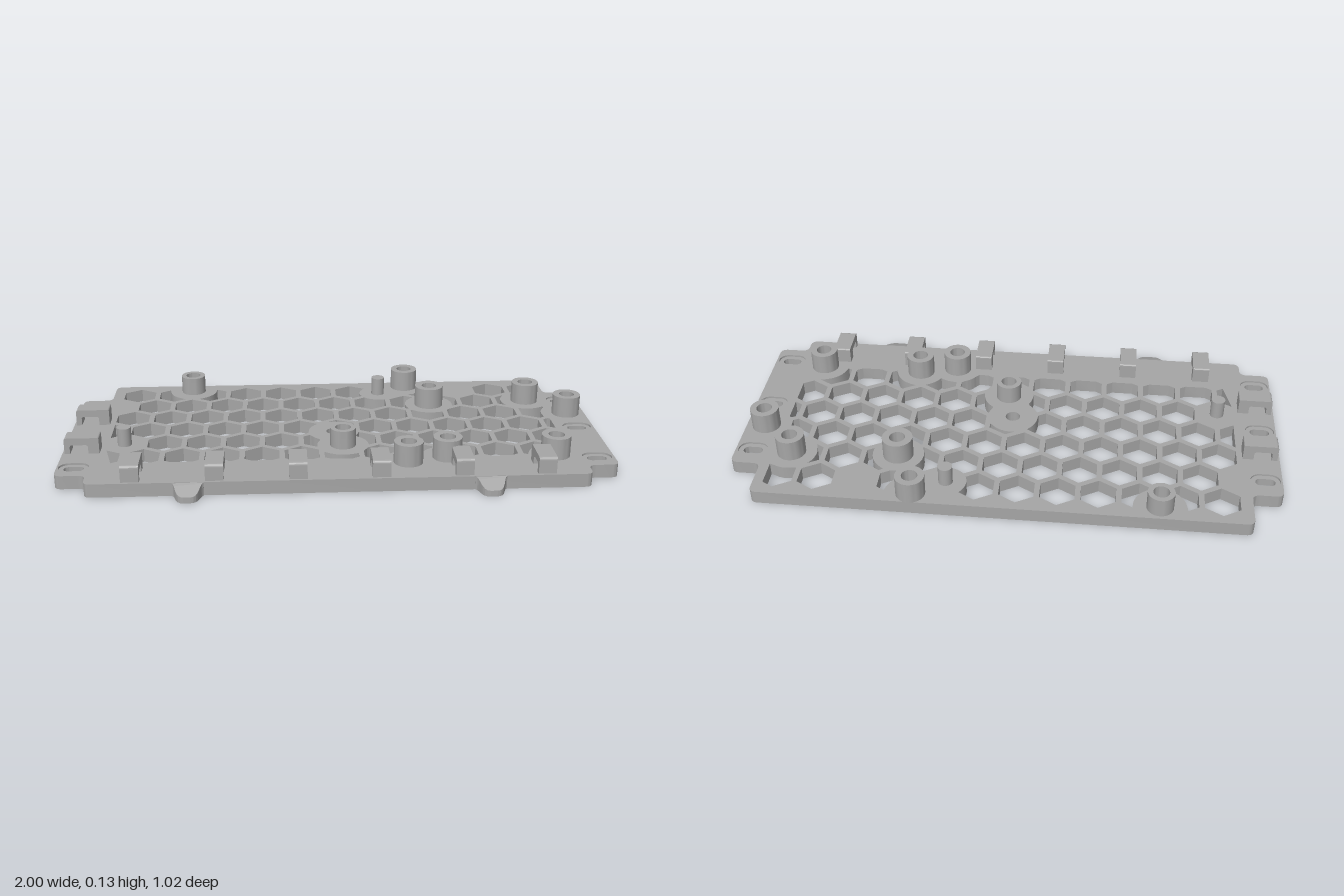
import * as THREE from 'three';
import { toCreasedNormals } from 'three/addons/utils/BufferGeometryUtils.js';

const T = 0.05; // plate thickness
const grey = new THREE.MeshStandardMaterial({ color: 0xa6a6a6 });
grey.name = 'grey plastic';

// x, z, height of top, outer radius
const bosses = [
  [0.25, 0.31, 0.13, 0.053], [0.395, 0.275, 0.13, 0.053], [0.79, 0.275, 0.13, 0.053],
  [0.925, -0.13, 0.13, 0.053], [0.395, -0.255, 0.13, 0.056], [0.79, -0.278, 0.13, 0.053],
  [0.315, -0.463, 0.13, 0.053], [0.025, 0.143, 0.12, 0.048], [-0.563, -0.453, 0.12, 0.048],
];
const posts = [[0.2, -0.39], [-0.783, 0.102]];
const slots = [-0.277, 0.01, 0.3].flatMap((z) => [[-0.94, z], [0.937, z]]);
const pads = [
  ...bosses.map(([x, z]) => [x, z, 0.095]),
  ...posts.map(([x, z]) => [x, z, 0.075]),
  [-0.003, 0.012, 0.095],
];

// Extrude an x-z outline vertically between y0 and y1
function slab(shape, y0, y1) {
  const g = new THREE.ExtrudeGeometry(shape, { depth: y1 - y0, bevelEnabled: false, curveSegments: 8 });
  g.rotateX(Math.PI / 2).translate(0, y1, 0);
  return g;
}

function roundedOutline(pts, r) {
  const s = new THREE.Shape();
  pts.forEach((p, i) => {
    const c = new THREE.Vector2(...p);
    const toward = (q) => {
      const d = new THREE.Vector2(...q).sub(c);
      return c.clone().add(d.setLength(Math.min(r, d.length() / 2)));
    };
    const a = toward(pts[(i + pts.length - 1) % pts.length]);
    const b = toward(pts[(i + 1) % pts.length]);
    if (i) s.lineTo(a.x, a.y); else s.moveTo(a.x, a.y);
    s.quadraticCurveTo(c.x, c.y, b.x, b.y);
  });
  s.closePath();
  return s;
}

function stadium(x, z, halfLength, r, Type = THREE.Path) {
  const p = new Type(), k = halfLength - r;
  p.absarc(x + k, z, r, -Math.PI / 2, Math.PI / 2, false);
  p.absarc(x - k, z, r, Math.PI / 2, Math.PI * 1.5, false);
  p.closePath();
  return p;
}

const circle = (x, z, r) => new THREE.Path().absarc(x, z, r, 0, Math.PI * 2, false);

function densify(poly, step = 0.006) {
  return poly.flatMap(([x, z], i) => {
    const [u, v] = poly[(i + 1) % poly.length];
    const n = Math.max(1, Math.ceil(Math.hypot(u - x, v - z) / step));
    return Array.from({ length: n }, (_, k) => [x + (u - x) * k / n, z + (v - z) * k / n]);
  });
}

// Keep the pieces of a hole lying outside a round pad
function cutDisc(poly, [cx, cz, r]) {
  const pts = densify(poly);
  const out = pts.map(([x, z]) => Math.hypot(x - cx, z - cz) > r);
  if (out.every((o) => o)) return [poly];
  const n = pts.length, start = out.indexOf(false), runs = [];
  let run = [];
  for (let i = 1; i <= n; i++) {
    const j = (start + i) % n;
    if (out[j]) run.push(pts[j]);
    else if (run.length) { runs.push(run); run = []; }
  }
  return runs.filter((q) => q.length > 3).map((q) => {
    const angle = ([x, z]) => Math.atan2(z - cz, x - cx);
    const a = angle(q[q.length - 1]);
    let d = angle(q[0]) - a;
    d = Math.atan2(Math.sin(d), Math.cos(d));
    for (let k = 1; k < 6; k++) q.push([cx + r * Math.cos(a + d * k / 6), cz + r * Math.sin(a + d * k / 6)]);
    return q;
  });
}

const area = (p) => Math.abs(THREE.ShapeUtils.area(p.map(([x, y]) => ({ x, y }))));

// Honeycomb openings, trimmed at the border and around every pad
function honeycomb() {
  const holes = [], dx = 0.1449, R = 0.0722;
  for (let row = 0; row < 6; row++) {
    const odd = row % 2;
    for (let k = row > 2 && odd ? -1 : 0; k < 12; k++) {
      if (row === 0 && (k === 7 || k === 9)) continue;
      if (row === 1 && k === 11) continue;
      const cx = -0.781 + (k + odd / 2) * dx, cz = -0.406 + row * 0.1256;
      const hex = Array.from({ length: 6 }, (_, i) => {
        const a = Math.PI / 6 + i * Math.PI / 3;
        return [cx + R * Math.cos(a), cz + R * Math.sin(a)];
      });
      const inside = densify(hex).filter(([x, z]) => x > -0.846 && x < 0.852 && z < 0.274);
      // untouched cells keep just their six corners
      let pieces = inside.length === densify(hex).length ? [hex] : inside.length > 3 ? [inside] : [];
      for (const pad of pads) pieces = pieces.flatMap((p) => cutDisc(p, pad));
      holes.push(...pieces.filter((p) => area(p) > 0.0007));
    }
  }
  return holes.map((p) => new THREE.Path(p.map(([x, z]) => new THREE.Vector2(x, z))));
}

export function createModel() {
  const model = new THREE.Group();
  model.name = 'mountingPlate';
  const add = (name, geometry, parent = model) => {
    const m = new THREE.Mesh(geometry, grey);
    m.name = name;
    parent.add(m);
    return m;
  };

  // Perforated plate with side ears
  const half = [[0.888, -0.513], [0.888, -0.358], [1, -0.358], [1, 0.374], [0.888, 0.374], [0.888, 0.447]];
  const outline = [...half, ...half.map(([x, z]) => [-x, z]).reverse()];
  const plate = roundedOutline(outline, 0.028);
  plate.holes.push(...honeycomb(), circle(-0.003, 0.012, 0.028));
  bosses.forEach(([x, z]) => plate.holes.push(circle(x, z, 0.029)));
  slots.forEach(([x, z]) => plate.holes.push(stadium(x, z, 0.054, 0.036)));
  add('plate', toCreasedNormals(slab(plate, 0, T), 0.6));

  // Recessed rims of the ear slots
  slots.forEach(([x, z]) => {
    const rim = stadium(x, z, 0.054, 0.036, THREE.Shape);
    rim.holes.push(stadium(x, z, 0.036, 0.018));
    add('slotRim', toCreasedNormals(slab(rim, 0.014, 0.043), 0.6));
  });

  // Hollow screw bosses
  bosses.forEach(([x, z, top, r]) => {
    const profile = [[0.029, T - 0.002], [r, T - 0.002], [r, top], [0.029, top], [0.029, T - 0.002]];
    const g = new THREE.LatheGeometry(profile.map((p) => new THREE.Vector2(...p)), 32);
    add('screwBoss', toCreasedNormals(g, 0.6)).position.set(x, 0, z);
  });

  // Solid locating posts
  posts.forEach(([x, z]) => {
    add('locatingPost', new THREE.CylinderGeometry(0.026, 0.026, 0.072, 24)).position.set(x, 0.084, z);
  });

  // Cable bridges: side profile runs along +x, outer end has softened corners
  const bridge = new THREE.Shape();
  bridge.moveTo(-0.063, T - 0.002);
  bridge.lineTo(-0.023, T - 0.002);
  bridge.lineTo(-0.023, 0.078);
  bridge.lineTo(-0.017, 0.084);
  bridge.lineTo(0.038, 0.084);
  bridge.lineTo(0.043, 0.078);
  bridge.lineTo(0.043, T - 0.002);
  bridge.lineTo(0.063, T - 0.002);
  bridge.lineTo(0.063, 0.1);
  bridge.quadraticCurveTo(0.063, 0.111, 0.052, 0.111);
  bridge.lineTo(-0.056, 0.111);
  bridge.quadraticCurveTo(-0.063, 0.111, -0.063, 0.104);
  bridge.closePath();
  const bridgeGeo = new THREE.ExtrudeGeometry(bridge, { depth: 0.064, bevelEnabled: false, curveSegments: 5 });
  bridgeGeo.translate(0, 0, -0.032);
  for (let i = 0; i < 6; i++) {
    const b = add('frontCableBridge', bridgeGeo);
    b.position.set(-0.727 + i * 0.2905, 0, 0.375);
    b.rotation.y = -Math.PI / 2;
  }
  [-0.128, 0.15].forEach((z) => {
    const b = add('sideCableBridge', bridgeGeo);
    b.position.set(-0.928, 0, z);
    b.rotation.y = Math.PI;
  });

  // Sloped front tabs
  const tab = new THREE.Shape();
  tab.moveTo(-0.055, 0.44);
  tab.lineTo(-0.055, 0.449);
  tab.bezierCurveTo(-0.04, 0.455, -0.045, 0.508, -0.012, 0.508);
  tab.lineTo(0.012, 0.508);
  tab.bezierCurveTo(0.045, 0.508, 0.04, 0.455, 0.055, 0.449);
  tab.lineTo(0.055, 0.44);
  tab.closePath();
  const tabGeo = slab(tab, 0, T);
  const p = tabGeo.attributes.position;
  for (let i = 0; i < p.count; i++) {
    if (p.getY(i) > 0.01) p.setY(i, Math.min(T, T - (p.getZ(i) - 0.447) * 0.46));
  }
  tabGeo.computeVertexNormals();
  [-0.528, 0.526].forEach((x) => { add('frontTab', tabGeo).position.x = x; });

  return model;
}
